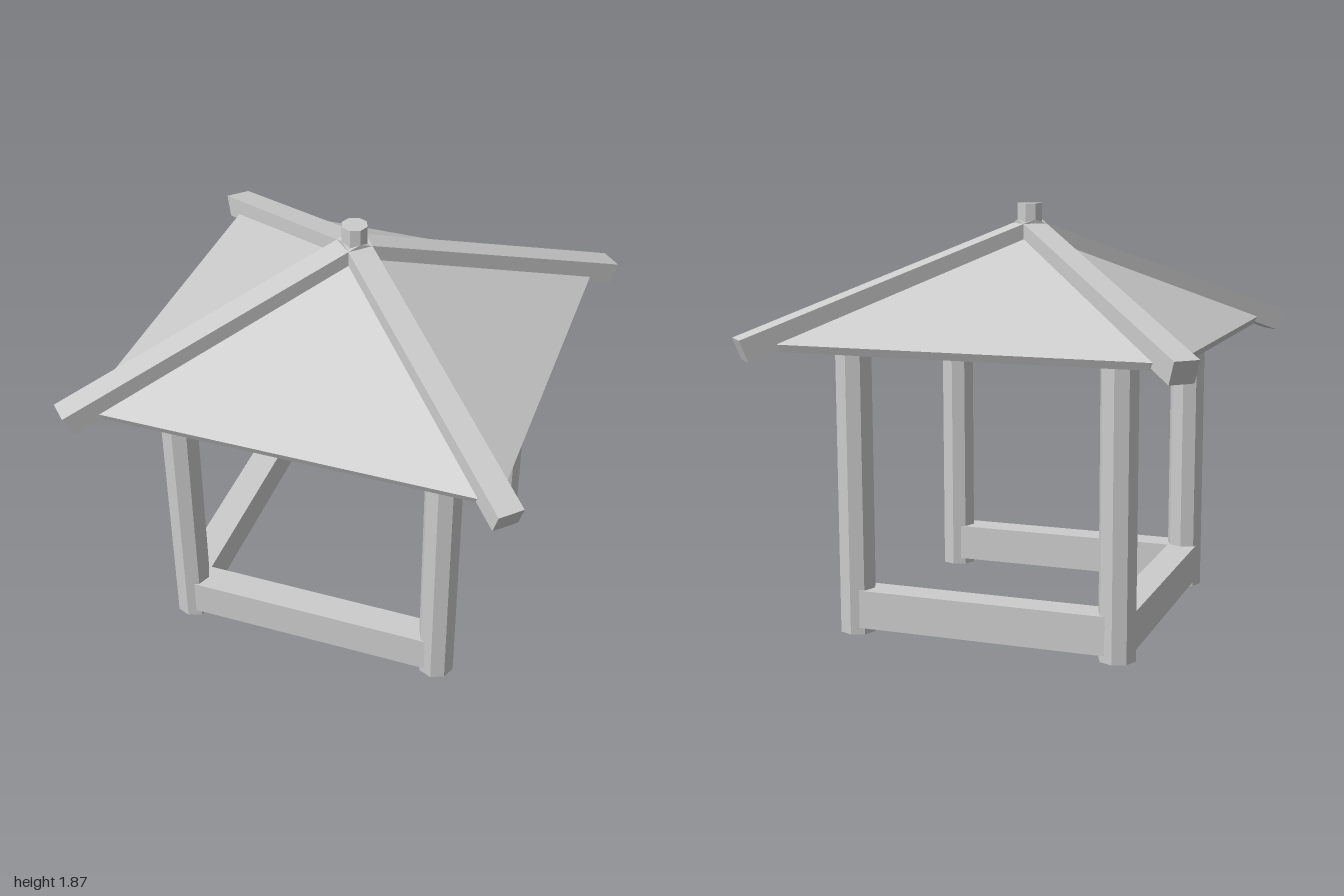
import * as THREE from 'three';

export function createModel() {
  const model = new THREE.Group();
  model.name = 'pavilion';
  const material = new THREE.MeshStandardMaterial({ color: 0xcccccc, flatShading: true });

  const add = (name, geometry, x = 0, y = 0, z = 0, turn = 0) => {
    const mesh = new THREE.Mesh(geometry, material);
    mesh.name = name;
    mesh.position.set(x, y, z);
    mesh.rotation.y = turn;
    model.add(mesh);
    return mesh;
  };

  // Four octagonal corner posts
  const reach = 0.597;
  const postHeight = 1.27;
  const postGeometry = new THREE.CylinderGeometry(0.082, 0.082, postHeight, 8);
  for (const x of [-reach, reach]) {
    for (const z of [-reach, reach]) add('post', postGeometry, x, postHeight / 2, z);
  }

  // Low rails on three sides, the +x side is the entrance
  const railGeometry = new THREE.BoxGeometry(reach * 2, 0.17, 0.134);
  const lowY = 0.115;
  add('frontRail', railGeometry, 0, lowY, reach);
  add('backRail', railGeometry, 0, lowY, -reach);
  add('rightRail', railGeometry, -reach, lowY, 0, Math.PI / 2);

  // Roof beams on the front and the right
  const highY = 1.325;
  add('frontBeam', railGeometry, 0, highY, reach);
  add('rightBeam', railGeometry, -reach, highY, 0, Math.PI / 2);

  // Hollow pyramid roof, its eaves cut square to the slope
  const roofProfile = [
    [0, 1.712], [0.874, 1.272], [0.89, 1.305], [0, 1.753],
  ].map(([half, y]) => new THREE.Vector2(half * Math.SQRT2, y));
  add('roof', new THREE.LatheGeometry(roofProfile, 4, Math.PI / 4));

  // Hip rafters: one bent profile along each diagonal
  const hipShape = new THREE.Shape([
    [-1.357, 1.33], [-1.32, 1.235], [0, 1.695], [1.32, 1.235], [1.357, 1.33], [0, 1.8],
  ].map(([d, y]) => new THREE.Vector2(d, y)));
  const hipWidth = 0.114;
  const hipGeometry = new THREE.ExtrudeGeometry(hipShape, { depth: hipWidth, bevelEnabled: false });
  hipGeometry.translate(0, 0, -hipWidth / 2);
  for (const side of [-1, 1]) add('hipRafters', hipGeometry, 0, 0, 0, side * Math.PI / 4);

  // Octagonal cap at the peak
  add('finial', new THREE.CylinderGeometry(0.058, 0.058, 0.15, 8), 0, 1.795, 0);

  return model;
}
